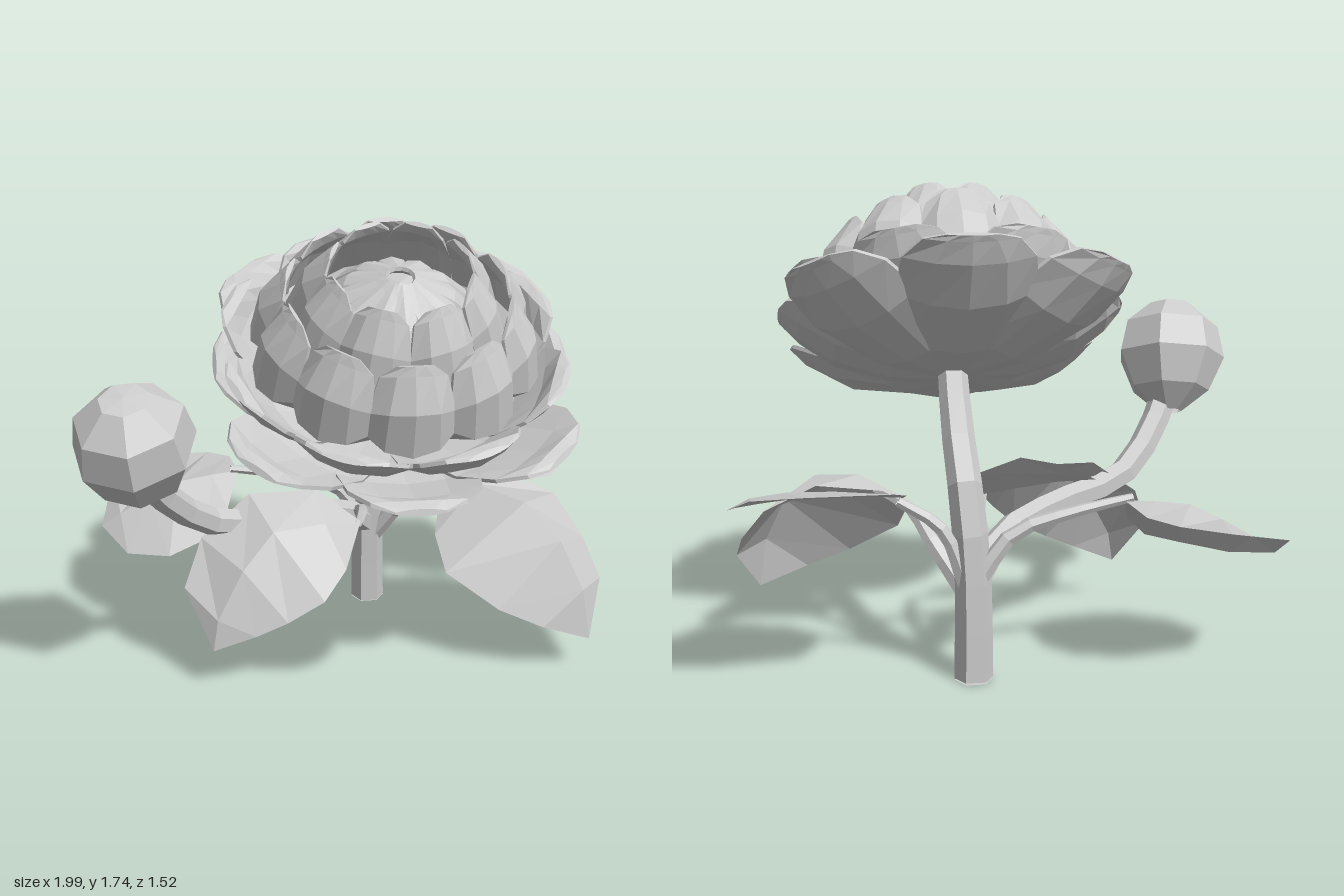
import * as THREE from 'three';

const V = (p) => new THREE.Vector3(...p);

export function createModel() {
  const root = new THREE.Group();
  const grey = new THREE.MeshStandardMaterial({ color: 0xcccccc, flatShading: true, side: THREE.DoubleSide });
  grey.name = 'lightGrey';

  const add = (geo, name, parent = root) => {
    const mesh = new THREE.Mesh(geo, grey);
    mesh.name = name;
    parent.add(mesh);
    return mesh;
  };

  const build = (positions, index) => {
    const g = new THREE.BufferGeometry();
    g.setAttribute('position', new THREE.Float32BufferAttribute(positions, 3));
    g.setIndex(index);
    g.computeVertexNormals();
    return g;
  };

  // Tapered six-sided stalk along a curve
  const stalk = (name, points, r0, r1, n = 7) => {
    const curve = new THREE.CatmullRomCurve3(points.map(V));
    const g = new THREE.TubeGeometry(curve, n, 1, 6);
    const pos = g.attributes.position;
    const p = new THREE.Vector3();
    for (let i = 0; i < pos.count; i++) {
      const t = Math.floor(i / 7) / n;
      const c = curve.getPointAt(t);
      p.fromBufferAttribute(pos, i).sub(c).multiplyScalar(r0 + (r1 - r0) * t).add(c);
      pos.setXYZ(i, p.x, p.y, p.z);
    }
    g.computeVertexNormals();
    return add(g, name);
  };

  // Leaf from a base, rows of [edge, midrib, edge] and a tip
  const leaf = (name, base, rows, tip) => {
    const all = [[base, base, base], ...rows, [tip, tip, tip]];
    const index = [];
    for (let i = 0; i < all.length - 1; i++) {
      for (let j = 0; j < 2; j++) {
        const a = i * 3 + j;
        if (i < all.length - 2) index.push(a, a + 3, a + 4);
        else index.push(a, a + 3, a + 1);
        if (i > 0 && i < all.length - 2) index.push(a, a + 4, a + 1);
      }
    }
    add(build(all.flat(2), index), name);
  };

  // Stems
  stalk('mainStem', [[0.14, 0.01, -0.46], [0.14, 0.4, -0.445], [0.16, 0.68, -0.41], [0.17, 0.88, -0.25], [0.16, 1.06, -0.02]], 0.07, 0.055);
  const cap = add(new THREE.CircleGeometry(0.07, 6), 'stemBase');
  cap.rotation.x = Math.PI / 2;
  cap.position.set(0.14, 0.005, -0.46);
  stalk('budStem', [[0.13, 0.36, -0.44], [0.02, 0.48, -0.3], [-0.2, 0.54, -0.12], [-0.5, 0.6, 0.04], [-0.66, 0.74, 0.18], [-0.76, 0.9, 0.3]], 0.05, 0.055, 9);
  stalk('leafStemRight', [[0.15, 0.3, -0.44], [0.27, 0.48, -0.36], [0.34, 0.58, -0.24], [0.46, 0.63, -0.13]], 0.04, 0.018);
  stalk('leafStemBackRight', [[0.16, 0.34, -0.45], [0.25, 0.56, -0.45], [0.4, 0.66, -0.43]], 0.035, 0.018);
  stalk('leafStemBackLeft', [[0.13, 0.36, -0.46], [0, 0.53, -0.45], [-0.22, 0.6, -0.44], [-0.44, 0.64, -0.42]], 0.035, 0.016);
  stalk('leafStemFront', [[0.08, 0.43, -0.38], [0.08, 0.53, -0.18], [0.04, 0.56, 0.02]], 0.03, 0.016);

  // Leaves
  leaf('rightLeaf', [0.4, 0.63, -0.18], [
    [[0.34, 0.5, 0.03], [0.52, 0.67, -0.06], [0.68, 0.66, -0.17]],
    [[0.36, 0.4, 0.17], [0.68, 0.64, 0.08], [0.87, 0.57, -0.17]],
    [[0.55, 0.28, 0.27], [0.8, 0.52, 0.19], [0.96, 0.43, -0.03]],
    [[0.72, 0.21, 0.3], [0.88, 0.34, 0.26], [0.99, 0.32, 0.12]],
  ], [0.91, 0.14, 0.28]);
  leaf('frontLeftLeaf', [0.05, 0.56, 0], [
    [[-0.12, 0.68, -0.05], [-0.1, 0.6, 0.1], [-0.03, 0.45, 0.2]],
    [[-0.38, 0.68, -0.04], [-0.3, 0.6, 0.16], [-0.12, 0.36, 0.28]],
    [[-0.57, 0.54, 0.04], [-0.42, 0.48, 0.23], [-0.26, 0.29, 0.3]],
    [[-0.64, 0.38, 0.14], [-0.52, 0.3, 0.27], [-0.38, 0.24, 0.3]],
  ], [-0.54, 0.18, 0.28]);
  leaf('backRightLeaf', [0.38, 0.67, -0.42], [
    [[0.38, 0.72, -0.58], [0.46, 0.7, -0.5], [0.52, 0.65, -0.3]],
    [[0.43, 0.76, -0.71], [0.62, 0.72, -0.49], [0.78, 0.62, -0.2]],
    [[0.72, 0.77, -0.75], [0.78, 0.72, -0.48], [0.88, 0.62, -0.24]],
    [[0.89, 0.76, -0.73], [0.9, 0.71, -0.5], [0.96, 0.64, -0.36]],
  ], [0.98, 0.67, -0.5]);
  leaf('backLeftLeaf', [-0.41, 0.63, -0.42], [
    [[-0.44, 0.62, -0.62], [-0.52, 0.62, -0.41], [-0.46, 0.52, -0.28]],
    [[-0.53, 0.61, -0.71], [-0.66, 0.6, -0.4], [-0.55, 0.43, -0.19]],
    [[-0.7, 0.59, -0.755], [-0.78, 0.54, -0.4], [-0.7, 0.38, -0.15]],
    [[-0.94, 0.53, -0.66], [-0.9, 0.47, -0.4], [-0.87, 0.36, -0.24]],
  ], [-0.98, 0.41, -0.42]);
  leaf('innerLeaf', [0.17, 0.67, -0.3], [
    [[0.12, 0.73, -0.36], [0.08, 0.69, -0.3], [0.14, 0.61, -0.22]],
    [[-0.04, 0.79, -0.38], [-0.05, 0.71, -0.3], [-0.05, 0.63, -0.2]],
    [[-0.2, 0.75, -0.35], [-0.2, 0.7, -0.28], [-0.2, 0.65, -0.2]],
  ], [-0.34, 0.67, -0.26]);

  // Bud
  const budProfile = [[0.05, -0.25], [0.16, -0.16], [0.222, -0.02], [0.195, 0.11], [0.09, 0.2], [0, 0.21]];
  const bud = add(new THREE.LatheGeometry(budProfile.map(([r, h]) => new THREE.Vector2(r, h)), 7), 'bud');
  bud.position.set(-0.785, 1.045, 0.345);
  bud.rotation.set(0.4, 0, 0.1);

  // Cupped lens-shaped petal: profile is [radius, height], halfWidth, curl radius, thickness
  const rows = [[0, 0.35], [0.25, 0.76], [0.55, 1], [0.8, 0.9], [0.94, 0.62], [1, 0.32]];
  const petalGeometry = (profile, halfWidth, curl, thick) => {
    const path = new THREE.SplineCurve(profile.map(([r, h]) => new THREE.Vector2(r, h)));
    const positions = [], index = [];
    const N = rows.length, M = 5;
    for (const side of [0, 1]) {
      for (const [t, width] of rows) {
        const p = path.getPoint(t), d = path.getTangent(t);
        for (let j = 0; j < M; j++) {
          const s = j / 2 - 1;
          const a = (s * halfWidth * width) / curl;
          const bulge = side * thick * (1 - 0.7 * s * s) * (t === 1 ? 0.5 : 1);
          const inward = curl * (1 - Math.cos(a)) + bulge;
          positions.push(curl * Math.sin(a), p.y + d.x * inward, p.x - d.y * inward);
        }
      }
    }
    const id = (side, i, j) => side * N * M + i * M + j;
    const quad = (a, b, c, e) => index.push(a, b, c, a, c, e);
    for (let i = 0; i < N - 1; i++) {
      for (let j = 0; j < M - 1; j++) {
        quad(id(0, i, j), id(0, i, j + 1), id(0, i + 1, j + 1), id(0, i + 1, j));
        quad(id(1, i, j), id(1, i + 1, j), id(1, i + 1, j + 1), id(1, i, j + 1));
      }
      quad(id(0, i, 0), id(0, i + 1, 0), id(1, i + 1, 0), id(1, i, 0));
      quad(id(0, i, M - 1), id(1, i, M - 1), id(1, i + 1, M - 1), id(0, i + 1, M - 1));
    }
    for (let j = 0; j < M - 1; j++) quad(id(0, N - 1, j), id(0, N - 1, j + 1), id(1, N - 1, j + 1), id(1, N - 1, j));
    return build(positions, index);
  };

  // Flower head, leaning forward
  const flower = new THREE.Group();
  flower.name = 'flowerHead';
  flower.position.set(0.15, 1.0, -0.03);
  flower.rotation.x = 0.47;
  root.add(flower);

  // Petal rings, outside to inside; narrow shortens the petals at the sides
  const rings = [
    { name: 'outerPetal', n: 8, turn: 0, narrow: 0.13, profile: [[0.05, 0.02], [0.35, 0.04], [0.6, 0.14], [0.75, 0.27]], w: 0.27, curl: 0.4, thick: 0.05 },
    { name: 'lowerPetal', n: 8, turn: 0.5, narrow: 0, profile: [[0.08, 0.06], [0.36, 0.09], [0.55, 0.21], [0.64, 0.37]], w: 0.24, curl: 0.34, thick: 0.05 },
    { name: 'middlePetal', n: 10, turn: 0, narrow: 0, profile: [[0.1, 0.1], [0.43, 0.2], [0.545, 0.38], [0.4, 0.61]], w: 0.2, curl: 0.18, thick: 0.04 },
    { name: 'upperPetal', n: 8, turn: 0.5, narrow: 0, profile: [[0.1, 0.14], [0.37, 0.28], [0.4, 0.5], [0.25, 0.71]], w: 0.16, curl: 0.15, thick: 0.035 },
    { name: 'heartPetal', n: 12, turn: 0, narrow: 0, profile: [[0.1, 0.16], [0.3, 0.34], [0.29, 0.52], [0.05, 0.66]], w: 0.1, curl: 0.08, thick: 0.03 },
  ];
  for (const { name, n, turn, narrow, profile, w, curl, thick } of rings) {
    const geo = petalGeometry(profile, w, curl, thick);
    for (let k = 0; k < n; k++) {
      const petal = add(geo, name, flower);
      const angle = ((k + turn) / n) * Math.PI * 2;
      petal.rotation.y = angle;
      petal.scale.z = 1 - narrow * Math.max(0, -Math.cos(2 * angle));
    }
  }

  // Closed heart inside the innermost petals
  const heart = add(new THREE.IcosahedronGeometry(0.21, 1), 'flowerHeart', flower);
  heart.position.y = 0.42;

  return root;
}
